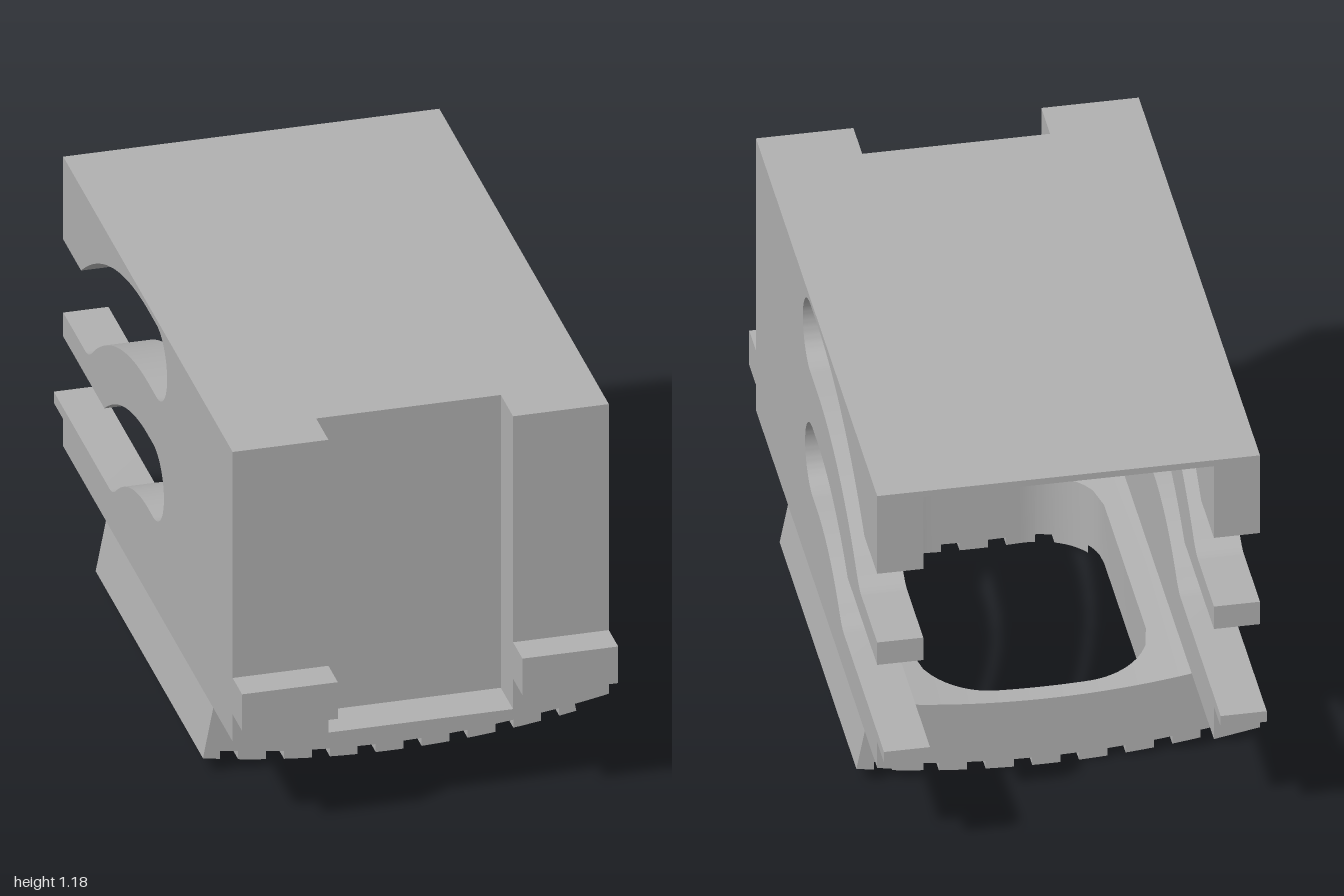
import * as THREE from 'three';
import { toCreasedNormals } from 'three/addons/utils/BufferGeometryUtils.js';

const CY = 2.9;                 // shared centre height of the concentric bottom arcs
const R_BODY = 2.68, R_VALLEY = 2.873, R_TOOTH = 2.898;
const TOP = 1.185, HALF_W = 0.54, INNER = 0.41;
const arcY = (r, x) => CY - Math.sqrt(r * r - x * x);

// Slot with concentric curved edges and a round closed end; u runs towards the back
function cutSlot(shape, yLow, yHigh, rLow, rHigh, uEnd) {
  const c = 0.01;
  const corner = Math.sqrt(rLow ** 2 - (yLow - c) ** 2);
  const a = Math.asin((yLow + 0.025 - c) / rLow);
  shape.lineTo(corner + 0.035, yLow);
  shape.quadraticCurveTo(corner + 0.005, yLow, rLow * Math.cos(a), c + rLow * Math.sin(a));
  shape.absarc(0, c, rLow, a, Math.PI / 2, false);
  shape.absarc(uEnd, c + (rLow + rHigh) / 2, (rHigh - rLow) / 2, -Math.PI / 2, Math.PI / 2, true);
  shape.absarc(0, c, rHigh, Math.PI / 2, Math.asin((yHigh - c) / rHigh), true);
  shape.lineTo(0.9, yHigh);
}

// Side wall with two slots, spring fingers and a rear tab
function wallGeometry(x0) {
  const s = new THREE.Shape();
  s.moveTo(-0.695, 0.27);
  s.lineTo(0.9, 0.27);
  s.lineTo(0.9, 0.36);
  s.lineTo(1, 0.36);
  s.lineTo(1, 0.395);
  cutSlot(s, 0.395, 0.62, 0.535, 0.765, -0.055);
  s.lineTo(0.9, 0.695);
  cutSlot(s, 0.695, 0.925, 0.93, 1.158, -0.09);
  s.lineTo(0.9, TOP);
  s.lineTo(-0.695, TOP);
  const g = new THREE.ExtrudeGeometry(s, { depth: HALF_W - INNER, bevelEnabled: false, curveSegments: 24 });
  g.rotateY(Math.PI / 2).translate(x0, 0, 0);
  const p = g.attributes.position;
  for (let i = 0; i < p.count; i++) if (p.getY(i) < 0.28) p.setY(i, arcY(R_BODY, p.getX(i)));
  return toCreasedNormals(g, 0.5);
}

// Front wall layer with curved underside and optional notch from the top
function frontGeometry(z0, z1, notch) {
  const s = new THREE.Shape();
  const a = Math.asin(HALF_W / R_BODY);
  s.absarc(0, CY, R_BODY, -Math.PI / 2 - a, -Math.PI / 2 + a, false);
  s.lineTo(HALF_W, TOP);
  if (notch) {
    s.lineTo(0.265, TOP);
    s.lineTo(0.265, 0.265);
    s.lineTo(-0.265, 0.265);
    s.lineTo(-0.265, TOP);
  }
  s.lineTo(-HALF_W, TOP);
  const g = new THREE.ExtrudeGeometry(s, { depth: z1 - z0, bevelEnabled: false, curveSegments: 24 });
  return toCreasedNormals(g.translate(0, 0, z0), 0.5);
}

// Flared base: toothed underside, arched top, rounded vertical opening
function baseGeometry() {
  const D = 0.57, W = 0.33, H = 0.51, R = 0.2, TOP_X = 0.495;
  const top = x => arcY(R_BODY, x);
  const holeZ = x => {
    const u = Math.max(0, Math.min(Math.abs(x), W) - (W - R));
    return H - R + Math.sqrt(Math.max(0, R * R - u * u));
  };
  // underside polyline, left to right
  const half = [];
  const span = (x0, x1, r) => {
    for (let i = 0; i <= 6; i++) {
      const x = x0 + (x1 - x0) * i / 6;
      half.push([x, arcY(r, x)]);
    }
  };
  const pitch = 0.1317, tooth = 0.04;
  for (let k = 0; k < 5; k++) {
    const c = k * pitch;
    span(k ? c - tooth : 0, k === 4 ? 0.536 : c + tooth, R_TOOTH);
    const v0 = c + tooth, v1 = c + pitch - tooth;
    if (k === 2) { span(v0, W, R_VALLEY); span(W, v1, R_VALLEY); }
    else if (k < 4) span(v0, v1, R_VALLEY);
  }
  const under = [...half.slice(1).reverse().map(([x, y]) => [-x, y]), ...half];
  const upper = [];
  for (const [a, b, n] of [[-TOP_X, -W, 4], [-W, W, 40], [W, TOP_X, 4]])
    for (let i = 0; i <= n; i++) { const x = a + (b - a) * i / n; upper.push([x, top(x)]); }

  const pos = [];
  const quad = (a, b, c, d, flip) => pos.push(...(flip ? [a, c, b, a, d, c] : [a, b, c, a, c, d]).flat());
  const strip = (line, s, flip) => {
    for (let i = 0; i + 1 < line.length; i++) {
      const [x0, y0] = line[i], [x1, y1] = line[i + 1];
      if (x0 === x1 && y0 === y1) continue;
      const open = Math.abs(x0 + x1) / 2 < W;
      const z0 = open ? s * holeZ(x0) : 0, z1 = open ? s * holeZ(x1) : 0;
      quad([x0, y0, z0], [x1, y1, z1], [x1, y1, s * D], [x0, y0, s * D], flip);
      if (open && line === under)   // curved wall of the opening
        quad([x0, y0, z0], [x0, top(x0), z0], [x1, top(x1), z1], [x1, y1, z1], flip);
    }
  };
  const [bx, by] = under[under.length - 1];
  const outline = new THREE.Shape([...under, ...upper.slice().reverse()]
    .filter((p, i, l) => !i || p[0] !== l[i - 1][0] || p[1] !== l[i - 1][1])
    .map(p => new THREE.Vector2(...p)));
  for (const s of [1, -1]) {
    strip(under, s, s < 0);
    strip(upper, s, s > 0);
    const z = holeZ(W), yb = arcY(R_VALLEY, W), yt = top(W);
    quad([s * W, yb, -z], [s * W, yb, z], [s * W, yt, z], [s * W, yt, -z], s < 0);
    quad([s * bx, by, -D], [s * TOP_X, top(TOP_X), -D], [s * TOP_X, top(TOP_X), D], [s * bx, by, D], s < 0);
    // end face
    const cap = new THREE.ShapeGeometry(outline).toNonIndexed().translate(0, 0, D);
    if (s < 0) cap.rotateY(Math.PI);
    for (const v of cap.attributes.position.array) pos.push(v);
  }
  const g = new THREE.BufferGeometry();
  g.setAttribute('position', new THREE.Float32BufferAttribute(pos, 3));
  g.computeVertexNormals();
  return toCreasedNormals(g, 0.5);
}

export function createModel() {
  const grey = new THREE.MeshStandardMaterial({ color: 0xb0b0b0 });
  grey.name = 'plain grey';
  const model = new THREE.Group();
  model.name = 'slottedHousing';
  const add = (name, geometry) => {
    const m = new THREE.Mesh(geometry, grey);
    m.name = name;
    model.add(m);
  };
  const box = (name, x0, x1, y0, y1, z0, z1) => add(name, new THREE.BoxGeometry(x1 - x0, y1 - y0, z1 - z0)
    .translate((x0 + x1) / 2, (y0 + y1) / 2, (z0 + z1) / 2));

  add('leftWall', wallGeometry(INNER));
  add('rightWall', wallGeometry(-HALF_W));
  box('roof', -INNER, INNER, 1.165, TOP, -0.9, 0.695);
  add('frontWallInner', frontGeometry(0.695, 0.77, false));
  add('frontWallNotched', frontGeometry(0.77, 0.9, true));
  box('leftFrontTab', 0.265, HALF_W, 0.36, 0.475, 0.9, 1);
  box('rightFrontTab', -HALF_W, -0.265, 0.36, 0.475, 0.9, 1);
  add('toothedBase', baseGeometry());
  return model;
}
